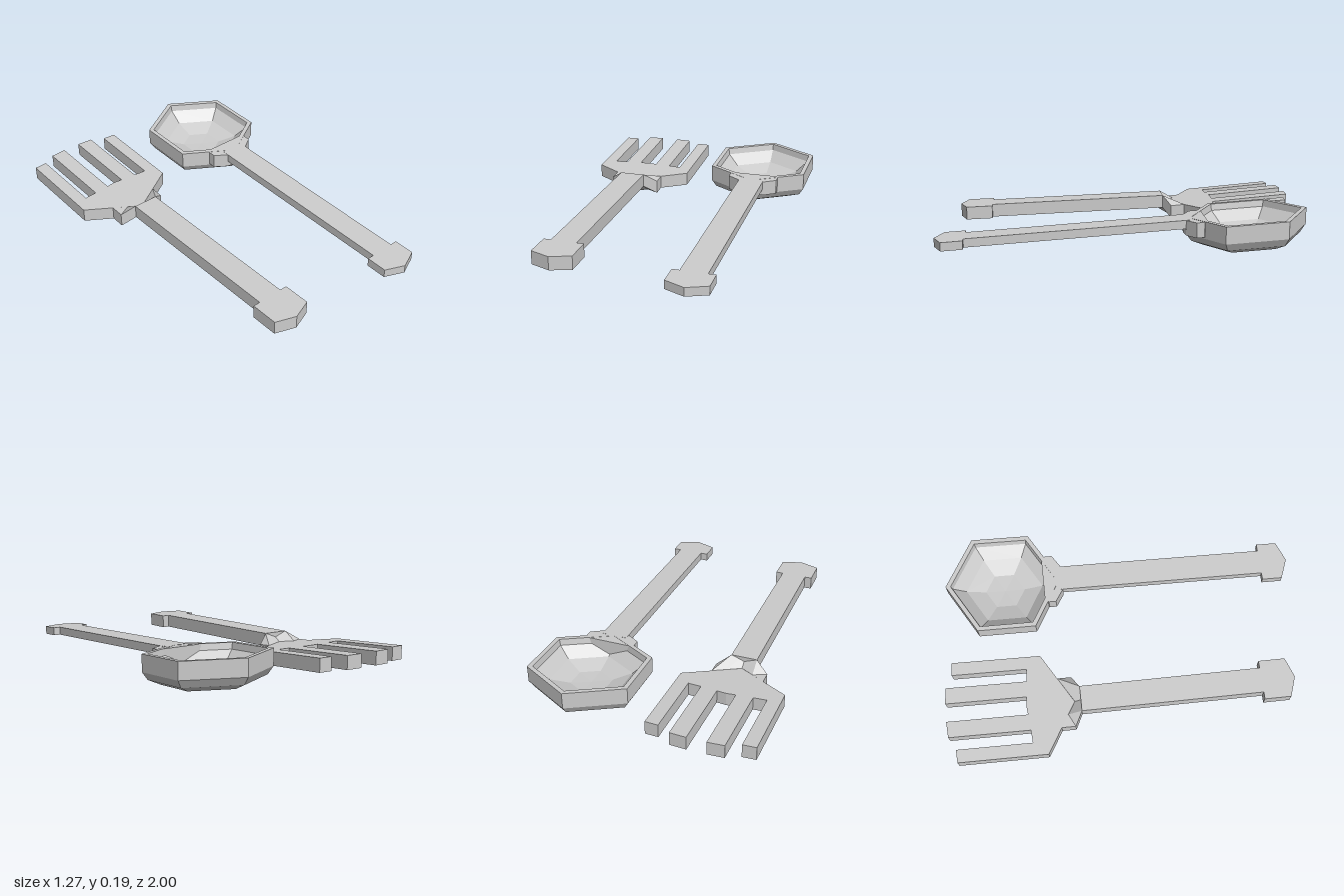
import * as THREE from 'three';

const material = new THREE.MeshStandardMaterial({ color: 0xcccccc, flatShading: true });

// Move every vertex by a rule
function reshape(geometry, rule) {
  const p = geometry.attributes.position;
  const v = new THREE.Vector3();
  for (let i = 0; i < p.count; i++) {
    rule(v.fromBufferAttribute(p, i));
    p.setXYZ(i, v.x, v.y, v.z);
  }
  geometry.computeVertexNormals();
  return geometry;
}

// Tilt along z: the plane y = 0 becomes y = height + slope * z
const tilt = (geometry, height, slope) => reshape(geometry, (v) => { v.y += height + slope * v.z; });

function part(name, geometry) {
  const mesh = new THREE.Mesh(geometry, material);
  mesh.name = name;
  return mesh;
}

// Symmetric plate: right half of the outline as [x, z], mirrored, thickened downward and tilted
function plate(half, thickness, height, slope) {
  const mirrored = half.filter(([x]) => x > 0).reverse().map(([x, z]) => [-x, z]);
  const outline = [...half, ...mirrored].map(([x, z]) => new THREE.Vector2(x, z));
  const geometry = new THREE.ExtrudeGeometry(new THREE.Shape(outline), { depth: thickness, bevelEnabled: false });
  geometry.rotateX(Math.PI / 2);
  return tilt(geometry, height, slope);
}

// Straight grip with a wider pointed end
function handleOutline(back, shoulder, corner, tip) {
  return [[0.07, back], [0.07, shoulder], [0.11, shoulder], [0.11, corner], [0, tip]];
}

function createFork() {
  const fork = new THREE.Group();
  fork.name = 'fork';

  const gripTop = (z) => 0.129 - 0.037 * z;
  const headTop = (z) => 0.065 - 0.085 * z;
  const thick = 0.073;

  fork.add(part('forkHandle', plate(handleOutline(-0.27, 0.73, 0.877, 0.916), thick, gripTop(0), -0.037)));

  // Head with four tines
  fork.add(part('forkHead', plate([
    [0, -0.568], [0.05, -0.563], [0.05, -1], [0.138, -0.994],
    [0.138, -0.555], [0.208, -0.55], [0.208, -0.957], [0.279, -0.953],
    [0.279, -0.47], [0, -0.305],
  ], thick, headTop(0), -0.085)));

  // Pointed neck sloping from the grip down to the head
  const neck = new THREE.BoxGeometry(0.28, 1, 1, 4, 1, 1);
  reshape(neck, (v) => {
    const u = Math.abs(v.x);
    const front = v.z > 0;
    const top = v.y > 0;
    v.z = (front ? -0.228 : -0.304) - 0.6 * u;
    const level = front && u < 0.1 ? gripTop(v.z) : headTop(v.z);
    v.y = level - (top ? 0 : thick);
  });
  fork.add(part('forkNeck', neck));
  fork.position.x = -0.358;
  return fork;
}

function createSpoon() {
  const spoon = new THREE.Group();
  spoon.name = 'spoon';
  const slope = -0.066;
  const height = 0.136;

  spoon.add(part('spoonHandle', plate(handleOutline(-0.34, 0.84, 0.953, 0.997), 0.046, height, slope)));

  // Neck block widening into the bowl
  spoon.add(part('spoonNeck', plate([
    [0, -0.36], [0.12, -0.41], [0.14, -0.39], [0.14, -0.35], [0.07, -0.305], [0, -0.3],
  ].slice(1), 0.08, height - 0.001, slope)));

  // Six-sided bowl, outside then rim then inside
  const profile = [
    [0, -0.158], [0.225, -0.158], [0.292, -0.13], [0.32, -0.09], [0.32, 0],
    [0.292, 0], [0.285, -0.035], [0.215, -0.09], [0.11, -0.122], [0, -0.126],
  ].map(([x, y]) => new THREE.Vector2(x, y));
  const bowl = new THREE.LatheGeometry(profile, 6).translate(0, 0, -0.635);
  spoon.add(part('spoonBowl', tilt(bowl, height, slope)));

  spoon.position.x = 0.355;
  return spoon;
}

export function createModel() {
  const model = new THREE.Group();
  model.name = 'cutlery';
  model.add(createFork(), createSpoon());
  return model;
}
